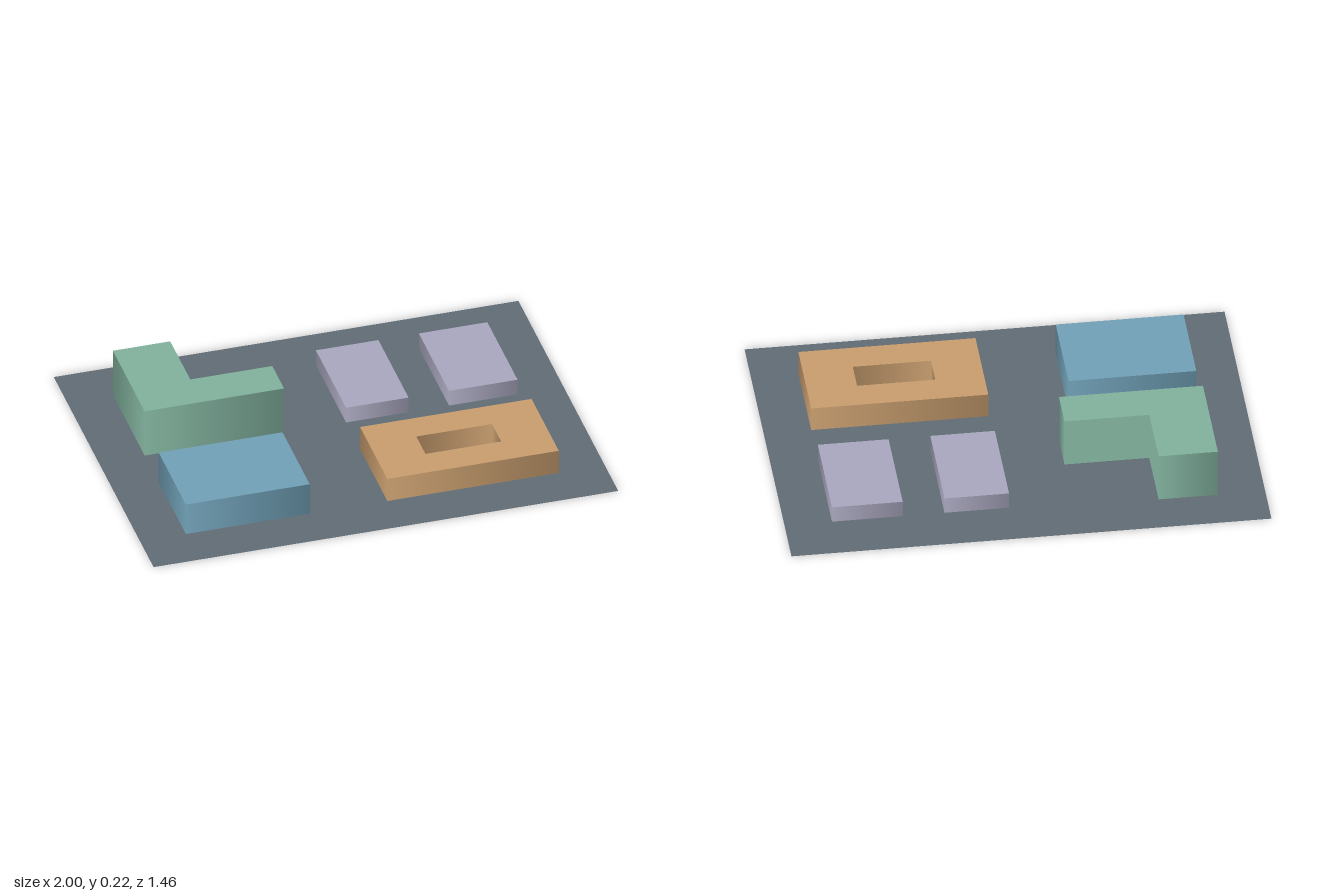
import * as THREE from 'three';

const material = (name, color, side = THREE.FrontSide) => {
  const m = new THREE.MeshStandardMaterial({ color, side });
  m.name = name;
  return m;
};

// Outlines are [x, z] corners, running anticlockwise as seen from above
const rect = (x0, x1, z0, z1) => [[x0, z1], [x1, z1], [x1, z0], [x0, z0]];
const toPoints = (outline) => outline.map(([x, z]) => new THREE.Vector2(x, -z));

// Band of walls along an outline, with normals blended around the corners
function wallGeometry(outline, height) {
  const pts = toPoints(outline);
  const n = pts.length;
  const outward = pts.map((p, i) => {
    const d = pts[(i + 1) % n].clone().sub(p).normalize();
    return new THREE.Vector2(d.y, -d.x);
  });
  const position = [], normal = [], index = [];
  pts.forEach((p, i) => {
    const c = outward[i].clone().add(outward[(i + n - 1) % n]).normalize();
    position.push(p.x, p.y, 0, p.x, p.y, height);
    normal.push(c.x, c.y, 0, c.x, c.y, 0);
    const a = 2 * i, b = 2 * ((i + 1) % n);
    index.push(a, b, b + 1, a, b + 1, a + 1);
  });
  const g = new THREE.BufferGeometry();
  g.setAttribute('position', new THREE.Float32BufferAttribute(position, 3));
  g.setAttribute('normal', new THREE.Float32BufferAttribute(normal, 3));
  g.setIndex(index);
  return g.rotateX(-Math.PI / 2);
}

// One block: a flat roof, outer walls and optional courtyard walls
function building(name, mat, height, outline, courtyard) {
  const group = new THREE.Group();
  group.name = name;
  const add = (part, geometry) => {
    const mesh = new THREE.Mesh(geometry, mat);
    mesh.name = part;
    group.add(mesh);
  };
  const shape = new THREE.Shape(toPoints(outline));
  add('outerWalls', wallGeometry(outline, height));
  if (courtyard) {
    const ring = [...courtyard].reverse();
    shape.holes.push(new THREE.Path(toPoints(ring)));
    add('courtyardWalls', wallGeometry(ring, height));
  }
  add('roof', new THREE.ShapeGeometry(shape).rotateX(-Math.PI / 2).translate(0, height, 0));
  return group;
}

export function createModel() {
  const model = new THREE.Group();
  model.name = 'siteModel';

  const slate = material('slateGround', 0x5f6b73, THREE.DoubleSide);
  const green = material('sageGreen', 0x80b09c);
  const blue = material('dustyBlue', 0x6f9fb5);
  const tan = material('warmTan', 0xc69c6d);
  const lavender = material('paleLavender', 0xa7a5bc);

  // Flat site
  const ground = new THREE.Mesh(new THREE.PlaneGeometry(2, 1.464).rotateX(-Math.PI / 2), slate);
  ground.name = 'ground';
  model.add(ground);

  // L-shaped block
  model.add(building('lShapedBuilding', green, 0.22, [
    [-0.803, -0.07], [-0.203, -0.07], [-0.203, -0.243],
    [-0.556, -0.243], [-0.556, -0.537], [-0.803, -0.537],
  ]));

  // Plain block and courtyard block at the front
  model.add(building('plainBuilding', blue, 0.147, rect(-0.803, -0.27, 0.135, 0.535)));
  model.add(building('courtyardBuilding', tan, 0.11,
    rect(0.064, 0.802, 0.135, 0.535), rect(0.267, 0.593, 0.268, 0.402)));

  // Pair of low blocks at the back
  [[0.064, 0.333], [0.507, 0.802]].forEach(([x0, x1], i) =>
    model.add(building(`lowBuilding${i + 1}`, lavender, 0.073, rect(x0, x1, -0.513, -0.07))));

  return model;
}
